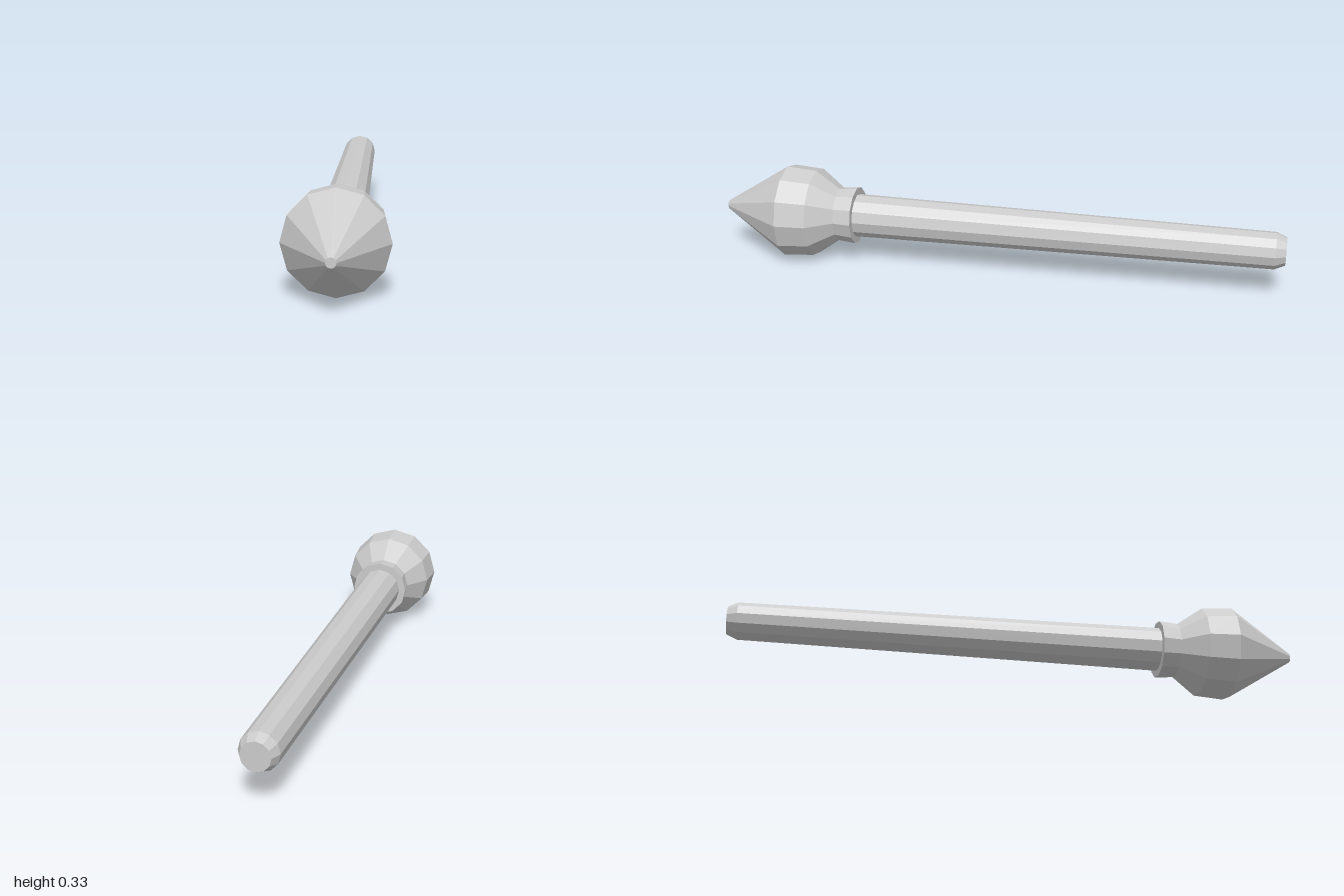
import * as THREE from 'three';

const SIDES = 12;
const AXIS_Y = 0.166;

// Faceted solid turned around the z axis; profile is [radius, z] from back to front
function turned(name, profile, material) {
  const points = profile.map(([r, z]) => new THREE.Vector2(r, z));
  const geometry = new THREE.LatheGeometry(points, SIDES);
  geometry.rotateX(Math.PI / 2);
  const mesh = new THREE.Mesh(geometry, material);
  mesh.name = name;
  mesh.position.y = AXIS_Y;
  return mesh;
}

export function createModel() {
  const model = new THREE.Group();
  model.name = 'spikedMace';
  const material = new THREE.MeshStandardMaterial({ color: 0xcccccc, flatShading: true });

  // Tapering handle with a bevelled butt
  model.add(turned('handle', [[0, -1], [0.048, -1], [0.064, -0.965], [0.077, 0.51]], material));

  // Collar, flaring towards the handle
  model.add(turned('collar', [[0, 0.507], [0.102, 0.507], [0.096, 0.572]], material));

  // Bulbous head ending in a blunt point
  model.add(turned('head', [
    [0.096, 0.572], [0.158, 0.657], [0.166, 0.765], [0.016, 1], [0, 1],
  ], material));

  return model;
}
